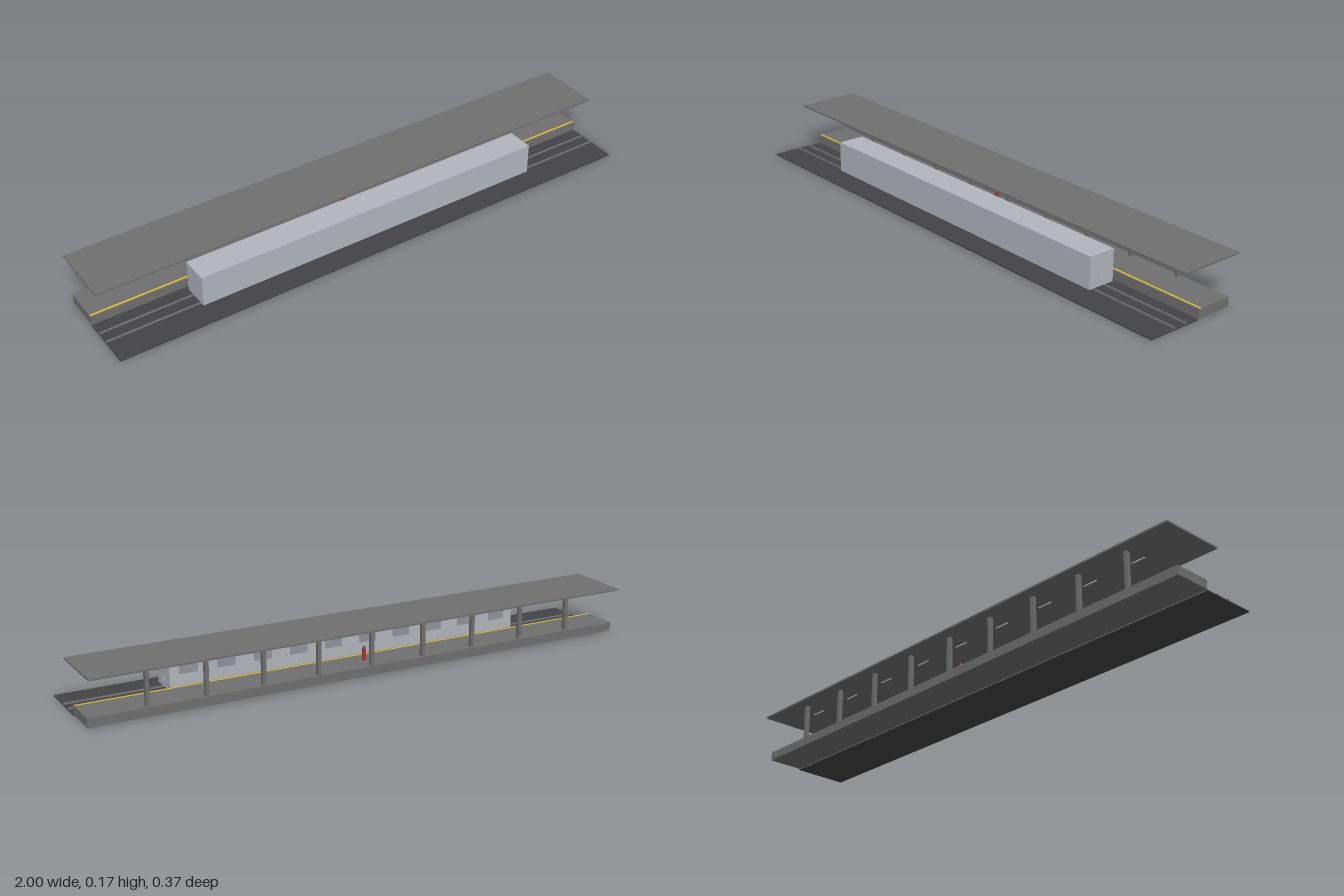
import * as THREE from 'three';

export function createModel() {
  const model = new THREE.Group();
  const mat = (name, color) => {
    const m = new THREE.MeshStandardMaterial({ color });
    m.name = name;
    return m;
  };
  const concrete = mat('concrete grey', 0x707070);
  const ballast = mat('dark ballast', 0x444446);
  const steel = mat('rail steel', 0x77777a);
  const silver = mat('train silver', 0xb2b6bc);
  const glass = mat('window grey', 0x8e959c);
  const yellow = mat('safety yellow', 0xe0c020);
  const red = mat('coat red', 0xb03030);
  const headGrey = mat('head grey', 0x5a5a5a);
  const lampWhite = mat('lamp white', 0xd8d8d0);

  const add = (name, geometry, material, x, y, z) => {
    const mesh = new THREE.Mesh(geometry, material);
    mesh.name = name;
    mesh.position.set(x, y, z);
    model.add(mesh);
    return mesh;
  };
  // Box given by its limits on each axis
  const box = (name, material, [x0, x1], [y0, y1], [z0, z1]) =>
    add(name, new THREE.BoxGeometry(x1 - x0, y1 - y0, z1 - z0), material,
      (x0 + x1) / 2, (y0 + y1) / 2, (z0 + z1) / 2);

  // Track bed and rails
  box('trackBed', ballast, [-1, 1], [0, 0.004], [-0.016, 0.184]);
  for (const z of [0.036, 0.084]) {
    box('rail', steel, [-1, 1], [0.004, 0.01], [z - 0.0015, z + 0.0015]);
  }

  // Platform with its yellow edge line
  box('platform', concrete, [-1, 1], [0.005, 0.037], [-0.149, -0.016]);
  box('safetyLine', yellow, [-1, 1], [0.037, 0.0378], [-0.028, -0.021]);

  // Canopy, pillars and hanging lamps
  box('canopyRoof', concrete, [-1, 1], [0.168, 0.174], [-0.184, 0.05]);
  for (let i = -4; i <= 4; i++) {
    const x = i * 0.2;
    box('pillar', concrete, [x - 0.0067, x + 0.0067], [0.037, 0.168], [-0.144, -0.13]);
    box('lamp', lampWhite, [x - 0.027, x + 0.027], [0.157, 0.159], [-0.086, -0.081]);
  }

  // Train body, platform-side windows and end plate
  box('trainBody', silver, [-0.667, 0.667], [0.015, 0.127], [0.01, 0.11]);
  for (let i = 0; i < 10; i++) {
    const x = -0.6 + i * (1.2 / 9);
    box('trainWindow', glass, [x - 0.033, x + 0.033], [0.067, 0.1], [0.009, 0.01]);
  }
  box('trainEndPlate', silver, [0.667, 0.67], [0.038, 0.051], [0.05, 0.071]);

  // Waiting passenger
  add('passengerBody', new THREE.CylinderGeometry(0.007, 0.007, 0.042, 20), red, 0, 0.061, -0.086);
  add('passengerHead', new THREE.SphereGeometry(0.0045, 16, 12), headGrey, 0, 0.086, -0.086);

  return model;
}
